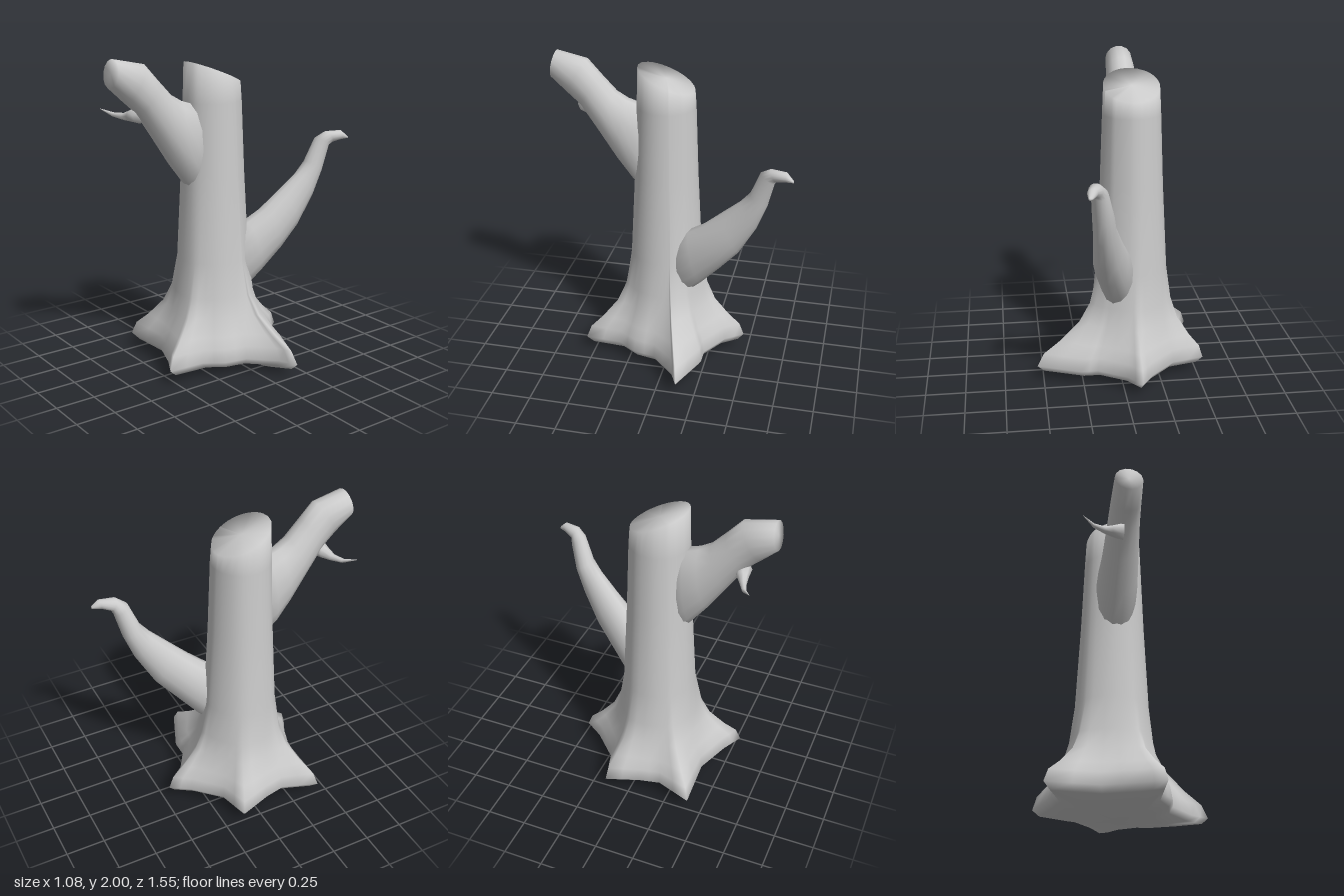
import * as THREE from 'three';

const material = new THREE.MeshStandardMaterial({ color: 0xcccccc });
const V = (x, y, z) => new THREE.Vector3(x, y, z);

// Smooth skin over rings of equal point count, closed by a centre point at each end.
function loft(name, rings, startCentre, endCentre) {
  const n = rings[0].length;
  const points = [...rings.flat(), startCentre, endCentre];
  const first = n * rings.length, last = first + 1, top = n * (rings.length - 1);
  const index = [];
  for (let j = 0; j < n; j++) {
    const k = (j + 1) % n;
    for (let i = 0; i < rings.length - 1; i++) {
      const a = i * n + j, b = i * n + k;
      index.push(a, b, b + n, a, b + n, a + n);
    }
    index.push(first, k, j, last, top + j, top + k);
  }
  const geometry = new THREE.BufferGeometry().setFromPoints(points);
  geometry.setIndex(index);
  geometry.computeVertexNormals();
  const mesh = new THREE.Mesh(geometry, material);
  mesh.name = name;
  return mesh;
}

function ellipse(centre, u, v, n = 14) {
  return Array.from({ length: n }, (_, i) => {
    const a = (i / n) * Math.PI * 2;
    return centre.clone().addScaledVector(u, Math.cos(a)).addScaledVector(v, Math.sin(a));
  });
}

// Branch sections: [lower z, lower y, upper z, upper y, centre x, half width].
function branch(name, sections, side) {
  const centres = [];
  const rings = sections.map(([z0, y0, z1, y1, x, w]) => {
    const c = V(x, (y0 + y1) / 2, (z0 + z1) / 2);
    centres.push(c);
    return ellipse(c, V(side * w, 0, 0), V(0, (y1 - y0) / 2, (z1 - z0) / 2));
  });
  return loft(name, rings, centres[0], centres.at(-1));
}

// Trunk flaring into five pointed roots
function trunk() {
  const cx = -0.09, cz = 0.055;
  // Root outline (x, z), counter-clockwise from above
  const outline = [
    [0.54, -0.14], [0.27, -0.25], [0.16, -0.25], [-0.02, -0.36], [-0.10, -0.47], [-0.18, -0.35],
    [-0.34, -0.19], [-0.54, -0.14], [-0.47, 0.06], [-0.44, 0.20], [-0.52, 0.42], [-0.20, 0.40],
    [0.02, 0.48], [0.155, 0.55], [0.17, 0.32], [0.25, 0.20], [0.28, 0.06], [0.43, -0.09],
  ];
  const roots = outline.flatMap(([x, z], i) => {
    const [x2, z2] = outline[(i + 1) % outline.length];
    return [[x, z], [(x + x2) / 2, (z + z2) / 2]];
  });
  // Underside rings: [height, scale of the outline]
  const rings = [[0.025, 0.6], [0.06, 0.92]].map(([y, s]) => roots.map(([x, z]) => V(x * s, y, z * s)));
  // Rising rings: [height, trunk radius, share of the root flare]
  const levels = [
    [0.1, 0.26, 1], [0.18, 0.25, 0.89], [0.25, 0.245, 0.62], [0.36, 0.24, 0.3], [0.48, 0.235, 0.13],
    [0.7, 0.225, 0.02], [1.25, 0.2, 0], [1.7, 0.183, 0], [null, 0.175, 0],
  ];
  const cut = z => 1.80 + (z + 0.12) * 0.42; // slanted top
  for (const [y, r, flare] of levels) {
    rings.push(roots.map(([x, z]) => {
      const a = Math.atan2(z - cz, x - cx);
      const R = THREE.MathUtils.lerp(r, Math.hypot(x - cx, z - cz), flare);
      const pz = cz + R * Math.sin(a);
      return V(cx + R * Math.cos(a), y ?? cut(pz), pz);
    }));
  }
  return loft('trunk', rings, V(-0.02, 0, 0), V(cx, cut(cz), cz));
}

export function createModel() {
  const group = new THREE.Group();
  group.name = 'treeStump';
  group.add(trunk());

  // Thick sawn-off branch at the front
  group.add(branch('frontBranch', [
    [0.16, 1.08, 0.08, 1.62, -0.09, 0.10],
    [0.27, 1.20, 0.22, 1.70, -0.09, 0.13],
    [0.37, 1.33, 0.30, 1.725, -0.09, 0.12],
    [0.49, 1.51, 0.37, 1.765, -0.09, 0.11],
    [0.60, 1.67, 0.46, 1.86, -0.09, 0.10],
    [0.68, 1.74, 0.55, 1.96, -0.09, 0.095],
    [0.775, 1.83, 0.745, 2.0, -0.095, 0.088],
  ], 1));

  // Slender hooked branch at the back
  group.add(branch('backBranch', [
    [-0.05, 0.42, 0.02, 0.82, 0.01, 0.10],
    [-0.20, 0.56, -0.11, 0.92, 0.035, 0.115],
    [-0.33, 0.71, -0.22, 1.00, 0.08, 0.11],
    [-0.45, 0.85, -0.34, 1.11, 0.11, 0.09],
    [-0.56, 1.05, -0.45, 1.21, 0.14, 0.07],
    [-0.62, 1.21, -0.51, 1.28, 0.155, 0.065],
    [-0.66, 1.375, -0.57, 1.43, 0.18, 0.05],
    [-0.67, 1.395, -0.63, 1.47, 0.205, 0.043],
    [-0.72, 1.41, -0.73, 1.47, 0.23, 0.032],
    [-0.775, 1.415, -0.77, 1.43, 0.245, 0.012],
  ], -1));

  // Thin curved twig on the front branch: [x, y, z, radius]
  const twig = [
    [-0.10, 1.66, 0.57, 0.055], [-0.17, 1.645, 0.59, 0.036], [-0.22, 1.635, 0.61, 0.022],
    [-0.29, 1.64, 0.64, 0.014], [-0.36, 1.67, 0.69, 0.002],
  ];
  const rings = twig.map(([x, y, z, r]) => ellipse(V(x, y, z), V(0, 0, r), V(0, r, 0), 8));
  group.add(loft('twig', rings, V(...twig[0].slice(0, 3)), V(...twig.at(-1).slice(0, 3))));
  return group;
}
